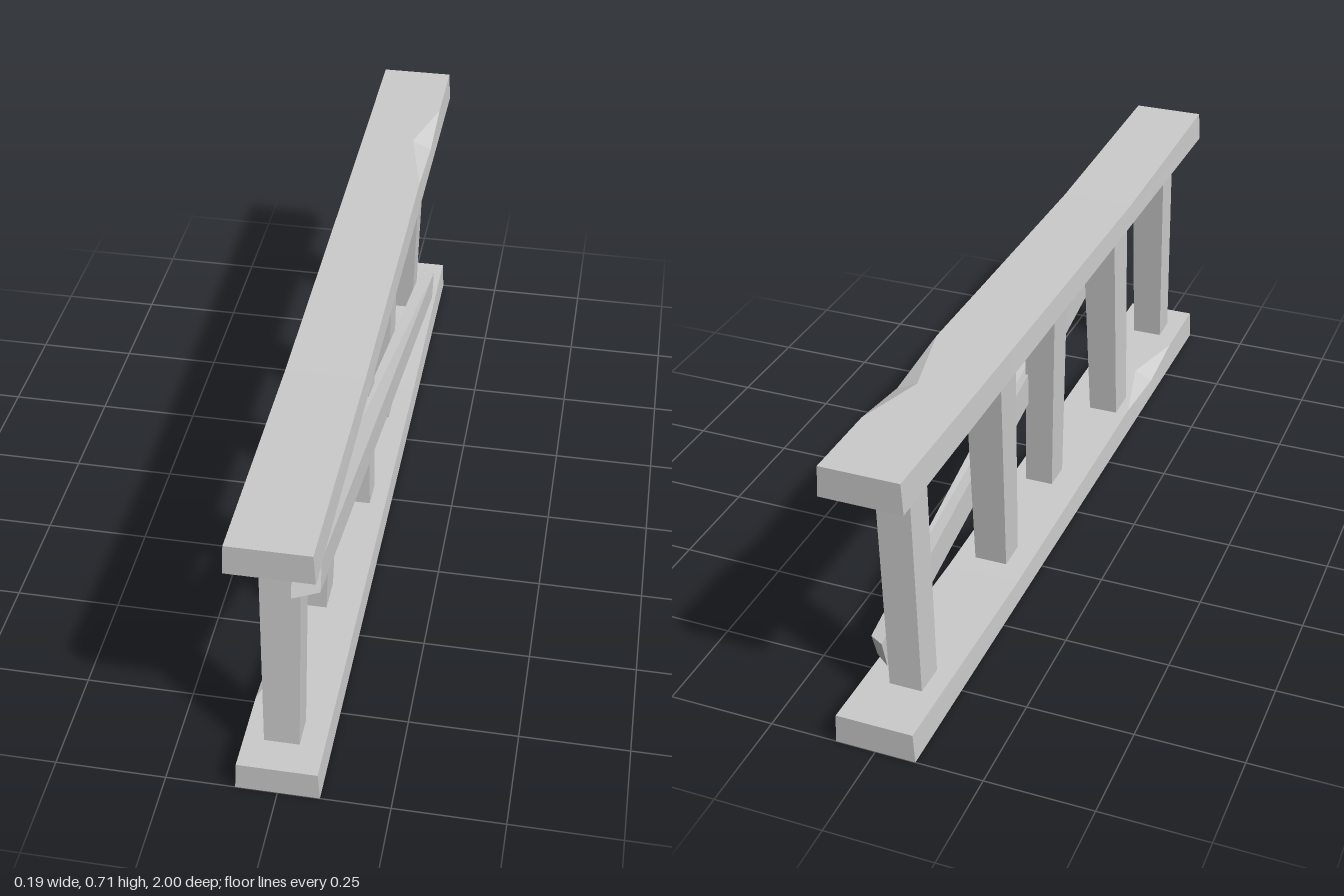
import * as THREE from 'three';

const material = new THREE.MeshStandardMaterial({ color: 0xcccccc, flatShading: true, side: THREE.DoubleSide });

// Skins a list of equal-length rings (counter-clockwise seen from the last ring) and caps both ends.
function loft(name, rings) {
  const pos = [];
  const n = rings[0].length;
  const tri = (a, b, c) => {
    const [A, B, C] = [a, b, c].map((p) => new THREE.Vector3(...p));
    if (new THREE.Triangle(A, B, C).getArea() > 1e-7) pos.push(...a, ...b, ...c);
  };
  for (let k = 0; k < rings.length - 1; k++) {
    const a = rings[k], b = rings[k + 1];
    for (let i = 0; i < n; i++) {
      const j = (i + 1) % n;
      tri(a[i], a[j], b[j]);
      tri(a[i], b[j], b[i]);
    }
  }
  const first = rings[0], last = rings[rings.length - 1];
  for (let i = 1; i < n - 1; i++) {
    tri(last[0], last[i], last[i + 1]);
    tri(first[0], first[i + 1], first[i]);
  }
  const geometry = new THREE.BufferGeometry();
  geometry.setAttribute('position', new THREE.Float32BufferAttribute(pos, 3));
  geometry.computeVertexNormals();
  const mesh = new THREE.Mesh(geometry, material);
  mesh.name = name;
  return mesh;
}

// Worn plank along z with a wavy top and one chipped edge.
function rail(name) {
  // z, top height, chipped edge height, inner x of the chip
  const stations = [
    [-1, 0.073, 0.073, 0.09],
    [-0.8, 0.069, 0.069, 0.09],
    [-0.63, 0.066, 0.044, 0.042],
    [-0.42, 0.063, 0.063, 0.09],
    [-0.2, 0.06, 0.06, 0.09],
    [0.4, 0.054, 0.054, 0.09],
    [1, 0.073, 0.073, 0.09],
  ];
  return loft(name, stations.map(([z, h, edge, inner]) => [
    [-0.094, 0, z], [0.094, 0, z], [0.09, edge, z], [inner, h, z], [-0.09, h, z],
  ]));
}

// Leaning, tapered post; each end is [x0, x1, z0, z1].
function post(name, bottom, top) {
  const ring = ([x0, x1, z0, z1], y) => [[x0, y, z1], [x1, y, z1], [x1, y, z0], [x0, y, z0]];
  return loft(name, [ring(bottom, 0.05), ring(top, 0.65)]);
}

export function createModel() {
  const group = new THREE.Group();
  group.name = 'fenceSection';

  // Rails: the lower one is the same plank turned end for end
  const topRail = rail('topRail');
  topRail.position.y = 0.637;
  const bottomRail = rail('bottomRail');
  bottomRail.rotation.y = Math.PI;
  group.add(topRail, bottomRail);

  // Posts, front to back
  const posts = [
    [[-0.045, 0.034, 0.847, 0.92], [-0.045, 0.045, 0.82, 0.9]],
    [[-0.063, 0.012, 0.4, 0.485], [-0.052, 0.035, 0.38, 0.483]],
    [[-0.02, 0.051, 0.016, 0.092], [-0.035, 0.042, -0.005, 0.082]],
    [[-0.038, 0.042, -0.343, -0.267], [-0.045, 0.044, -0.38, -0.288]],
    [[-0.048, 0.029, -0.858, -0.777], [-0.03, 0.05, -0.842, -0.756]],
  ];
  posts.forEach(([bottom, top], i) => group.add(post(`post${i + 1}`, bottom, top)));

  // Diagonal brace on the side, with angled ends
  group.add(loft('diagonalBrace', [
    [[0.05, 0.085, -0.824], [0.085, 0.09, -0.8], [0.085, 0.16, -0.825], [0.05, 0.162, -0.846]],
    [[0.028, 0.525, 0.934], [0.085, 0.53, 0.911], [0.085, 0.601, 0.892], [0.028, 0.608, 0.912]],
  ]));

  return group;
}
